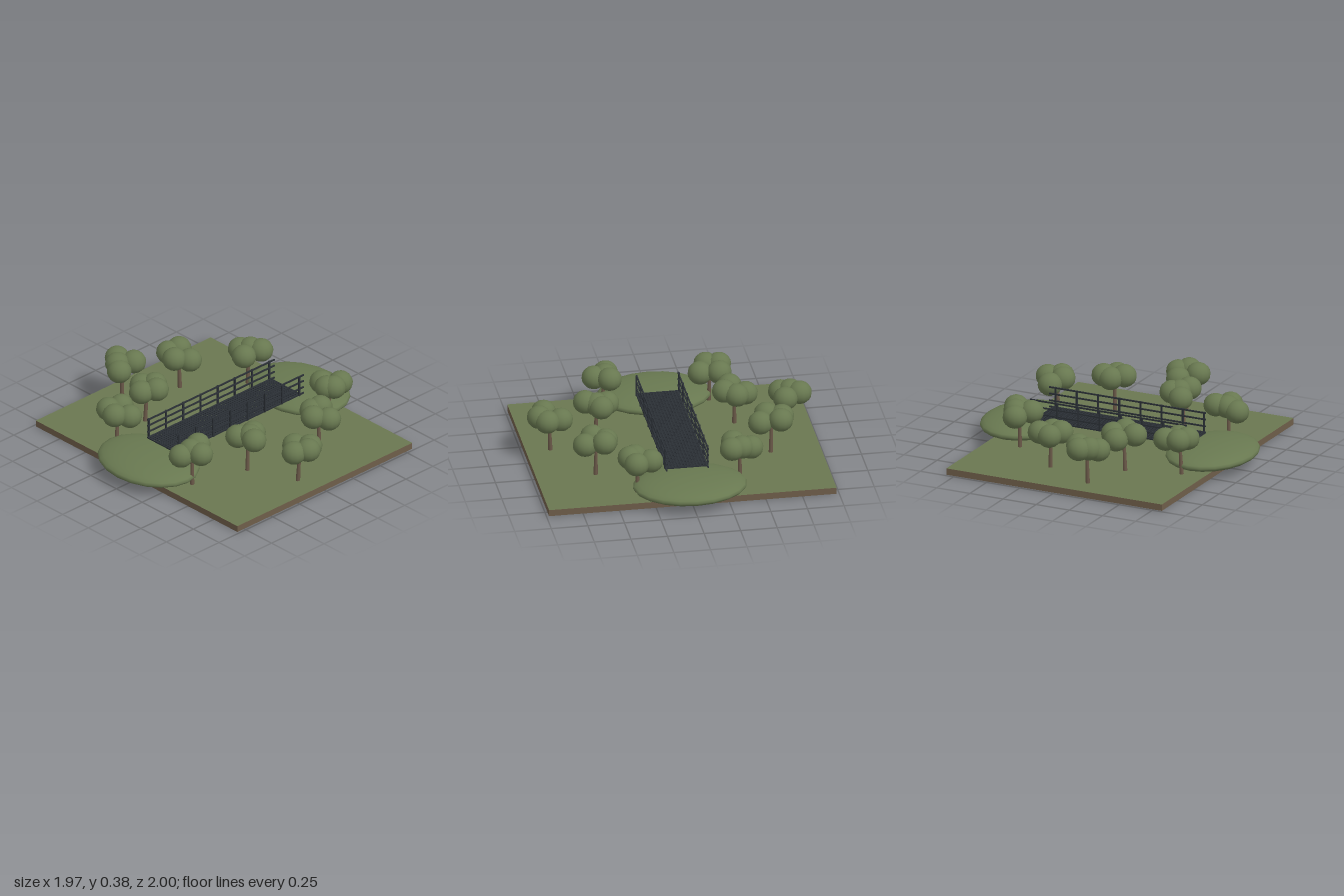
import * as THREE from 'three';

const mat = (name, color) => {
  const m = new THREE.MeshStandardMaterial({ color });
  m.name = name;
  return m;
};

export function createModel() {
  const grass = mat('grass', 0x6a7750);
  const leaf = mat('leaf green', 0x687850);
  const earth = mat('earth brown', 0x6e5d49);
  const bark = mat('bark brown', 0x6a5848);
  const metal = mat('dark metal', 0x2b3036);

  const root = new THREE.Group();
  root.name = 'parkBridge';

  const add = (parent, name, geometry, material, x, y, z) => {
    const mesh = new THREE.Mesh(geometry, material);
    mesh.name = name;
    mesh.position.set(x, y, z);
    parent.add(mesh);
    return mesh;
  };
  const group = (name) => {
    const g = new THREE.Group();
    g.name = name;
    root.add(g);
    return g;
  };

  // Ground slab: grass on top, earth on the sides and underneath
  add(root, 'ground', new THREE.BoxGeometry(1.965, 0.045, 1.625),
    [earth, earth, grass, earth, earth, earth], 0, 0.0225, 0);

  // Grassy mounds that carry the bridge ends
  for (const side of [1, -1]) {
    const mound = add(root, side > 0 ? 'frontMound' : 'backMound',
      new THREE.SphereGeometry(1, 20, 14), leaf, 0, 0.1, side * 0.7);
    mound.scale.set(0.388, 0.07, 0.3);
  }

  // Bridge deck: an open grating of long and cross bars
  const deck = group('bridgeDeck');
  const longBar = new THREE.BoxGeometry(0.008, 0.01, 1.15);
  const crossBar = new THREE.BoxGeometry(0.285, 0.008, 0.008);
  for (let i = 0; i < 14; i++) {
    add(deck, 'longBar', longBar, metal, -0.137 + i * 0.021, 0.168, 0);
  }
  for (let i = 0; i < 55; i++) {
    add(deck, 'crossBar', crossBar, metal, 0, 0.168, -0.572 + i * 0.0212);
  }

  // Railings with posts and three rails on each side
  const rail = new THREE.BoxGeometry(0.009, 0.01, 1.18);
  const post = new THREE.BoxGeometry(0.011, 0.148, 0.011);
  for (const side of [1, -1]) {
    const railing = group(side > 0 ? 'leftRailing' : 'rightRailing');
    for (const y of [0.168, 0.212, 0.26, 0.306]) {
      add(railing, 'rail', rail, metal, side * 0.142, y, -0.015);
    }
    for (let i = 0; i < 8; i++) {
      add(railing, 'post', post, metal, side * 0.146, 0.237, -0.56 + i * 0.16);
    }
  }

  // Trees: trunk base, then the plan positions of the four leaf clumps
  const trees = [
    [[-0.365, -0.57], [-0.30, -0.63], [-0.44, -0.57], [-0.33, -0.50], [-0.37, -0.60]],
    [[0.35, -0.64], [0.40, -0.64], [0.26, -0.66], [0.37, -0.73], [0.36, -0.61]],
    [[0.58, -0.33], [0.53, -0.39], [0.655, -0.35], [0.51, -0.33], [0.59, -0.265]],
    [[-0.64, -0.20], [-0.70, -0.25], [-0.565, -0.22], [-0.72, -0.17], [-0.62, -0.13]],
    [[-0.815, 0.17], [-0.895, 0.14], [-0.78, 0.23], [-0.79, 0.085], [-0.84, 0.19]],
    [[-0.475, 0.28], [-0.40, 0.245], [-0.545, 0.245], [-0.475, 0.19], [-0.45, 0.34]],
    [[0.815, 0.09], [0.895, 0.07], [0.75, 0.06], [0.85, 0.01], [0.85, 0.16]],
    [[0.48, 0.24], [0.55, 0.245], [0.40, 0.255], [0.455, 0.16], [0.48, 0.21]],
    [[-0.365, 0.65], [-0.435, 0.66], [-0.295, 0.595], [-0.42, 0.555], [-0.35, 0.685]],
    [[0.36, 0.64], [0.33, 0.555], [0.33, 0.715], [0.425, 0.62], [0.345, 0.635]],
  ];
  const clumpY = [0.305, 0.28, 0.295, 0.3];
  const clumpGeo = new THREE.SphereGeometry(1, 14, 10);
  const trunkGeo = new THREE.CylinderGeometry(0.01, 0.015, 1, 8);
  const up = new THREE.Vector3(0, 1, 0);
  for (const [base, ...clumps] of trees) {
    const tree = group('tree');
    clumps.forEach(([x, z], i) => {
      const clump = add(tree, 'foliage', clumpGeo, leaf, x, clumpY[i], z);
      clump.scale.set(0.084, 0.079, 0.084);
    });
    // Trunk leans slightly toward the middle of its crown
    const mean = (k) => clumps.reduce((s, c) => s + c[k], 0) / clumps.length;
    const foot = new THREE.Vector3(base[0], 0.04, base[1]);
    const lean = new THREE.Vector3(mean(0), 0.28, mean(1)).sub(foot);
    lean.x *= 0.5;
    lean.z *= 0.5;
    const mid = foot.clone().addScaledVector(lean, 0.5);
    const trunk = add(tree, 'trunk', trunkGeo, bark, mid.x, mid.y, mid.z);
    trunk.scale.y = lean.length();
    trunk.quaternion.setFromUnitVectors(up, lean.normalize());
  }
  return root;
}
